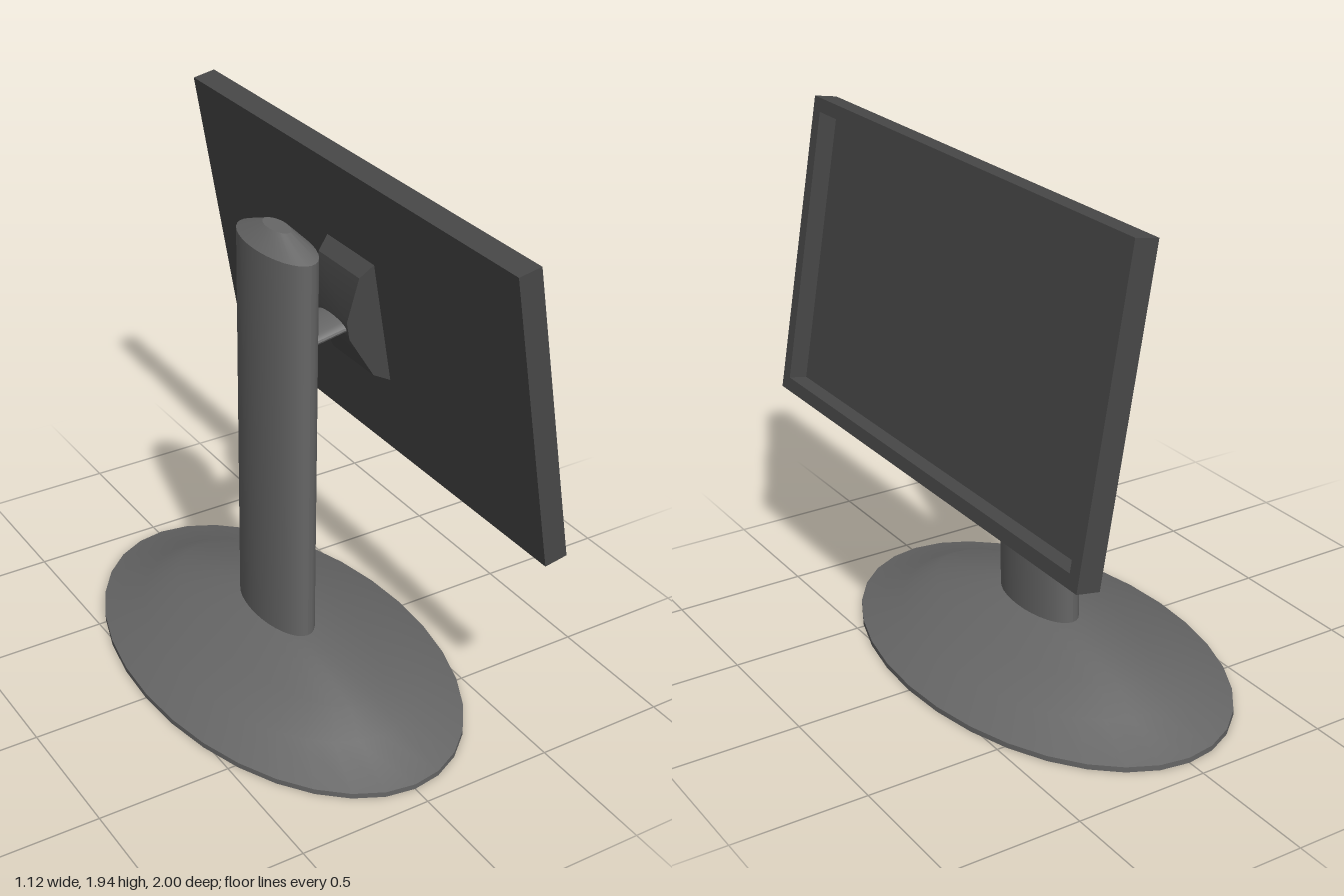
import * as THREE from 'three';
import { toCreasedNormals } from 'three/addons/utils/BufferGeometryUtils.js';

const standMaterial = new THREE.MeshStandardMaterial({ color: 0x666666 });
const screenMaterial = new THREE.MeshStandardMaterial({ color: 0x484848 });

// Closed loft of elliptical rings stacked along y; rows are [radiusX, y, radiusZ].
function loft(rows, sides, turn = 0) {
  const first = rows[0], last = rows[rows.length - 1];
  const rings = [[0, first[1], 0], ...rows, [0, last[1], 0]];
  const position = [], index = [];
  for (const [rx, y, rz] of rings) {
    for (let j = 0; j < sides; j++) {
      const t = turn + (j / sides) * Math.PI * 2;
      position.push(rx * Math.cos(t), y, rz * Math.sin(t));
    }
  }
  for (let i = 0; i < rings.length - 1; i++) {
    for (let j = 0; j < sides; j++) {
      const k = (j + 1) % sides;
      const a = i * sides + j, b = i * sides + k;
      const c = a + sides, d = b + sides;
      if (i < rings.length - 2) index.push(a, c, d);
      if (i > 0) index.push(a, d, b);
    }
  }
  const geometry = new THREE.BufferGeometry();
  geometry.setAttribute('position', new THREE.Float32BufferAttribute(position, 3));
  geometry.setIndex(index);
  return toCreasedNormals(geometry, 0.4);
}

function addPart(parent, name, geometry, material) {
  const mesh = new THREE.Mesh(geometry, material);
  mesh.name = name;
  parent.add(mesh);
  return mesh;
}

function rectangle(path, halfWidth, halfHeight) {
  path.moveTo(-halfWidth, -halfHeight);
  path.lineTo(halfWidth, -halfHeight);
  path.lineTo(halfWidth, halfHeight);
  path.lineTo(-halfWidth, halfHeight);
  path.closePath();
  return path;
}

export function createModel() {
  const model = new THREE.Group();
  model.name = 'monitor';

  // Oval foot, sloping up to the column
  addPart(model, 'base', loft([
    [0.56, 0, 0.925], [0.56, 0.02, 0.925], [0.43, 0.085, 0.705],
    [0.27, 0.145, 0.595], [0.095, 0.21, 0.22],
  ], 32), standMaterial);

  // Oval column with a bevelled top
  addPart(model, 'column', loft([
    [0.095, 0.2, 0.22], [0.095, 1.7, 0.22], [0.035, 1.76, 0.075],
  ], 32), standMaterial);

  // Tilted head: local +x is the viewing direction
  const head = new THREE.Group();
  head.name = 'head';
  head.position.set(0.38, 1.375, 0);
  head.rotation.z = THREE.MathUtils.degToRad(10);
  model.add(head);

  const thickness = 0.088, halfHeight = 0.561, border = 0.05;

  // Bezel around the recessed screen
  const outline = rectangle(new THREE.Shape(), 1, halfHeight);
  outline.holes.push(rectangle(new THREE.Path(), 1 - border, halfHeight - border));
  const bezel = new THREE.ExtrudeGeometry(outline, { depth: thickness, bevelEnabled: false });
  bezel.translate(0, 0, -thickness / 2).rotateY(Math.PI / 2);
  addPart(head, 'bezel', bezel, screenMaterial);

  const panelDepth = 0.018;
  const panel = new THREE.BoxGeometry(panelDepth, 2 * (halfHeight - border), 2 * (1 - border));
  panel.translate((panelDepth - thickness) / 2, 0, 0);
  addPart(head, 'screen', panel, screenMaterial);

  // Stepped rectangular mount behind the screen
  const mountRows = [[0.24, 0.04, 0.15], [0.2, 0.098, 0.13], [0.035, 0.158, 0.105]]
    .map(([h, d, w]) => [h * Math.SQRT2, d, w * Math.SQRT2]);
  addPart(head, 'mount', loft(mountRows, 4, Math.PI / 4).rotateZ(Math.PI / 2), screenMaterial);

  // Flat oval arm joining the mount to the column
  const arm = loft([[0.028, 0.14, 0.095], [0.028, 0.36, 0.095]], 24).rotateZ(Math.PI / 2);
  addPart(head, 'arm', arm, standMaterial);

  return model;
}
